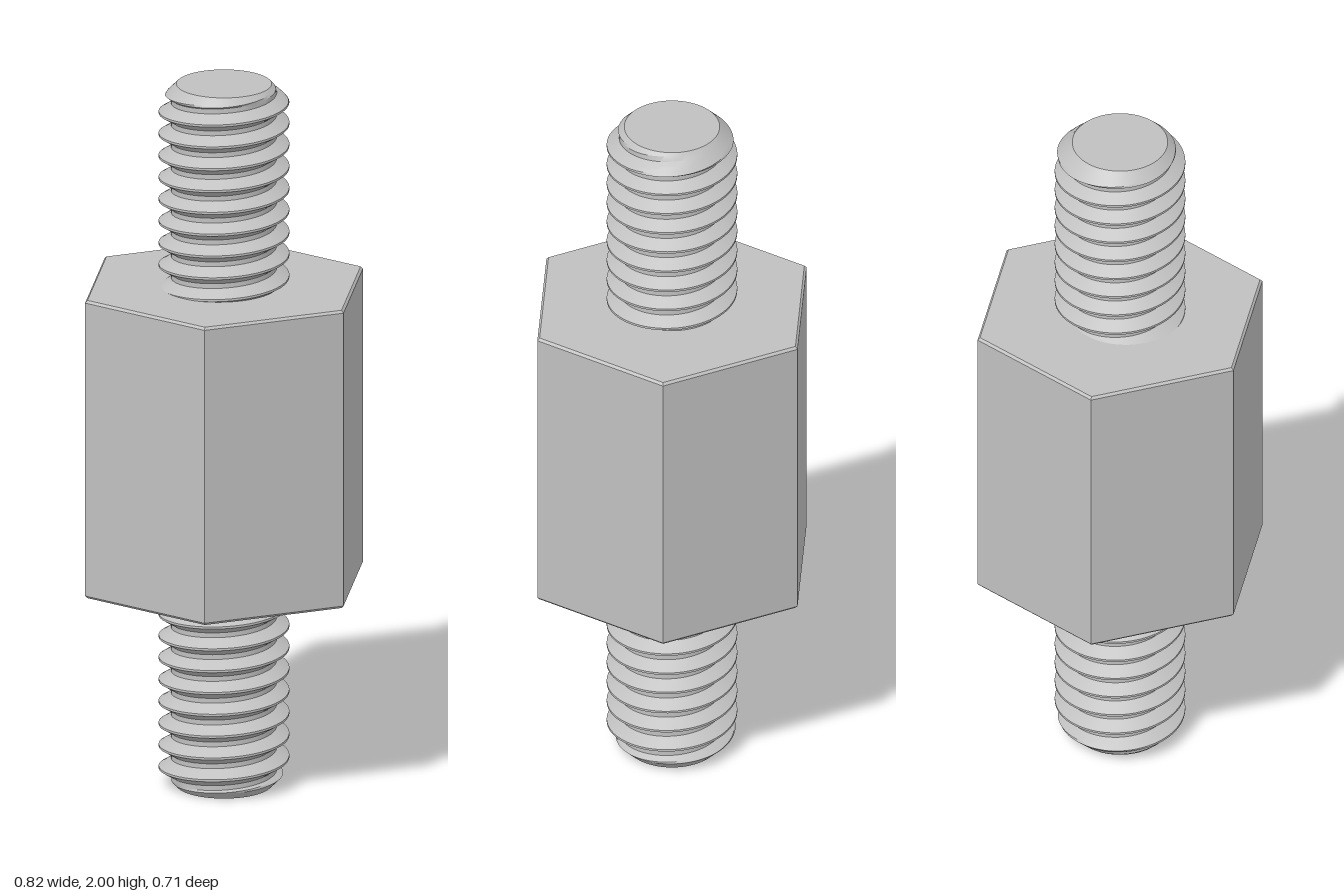
import * as THREE from 'three';
import { toCreasedNormals } from 'three/addons/utils/BufferGeometryUtils.js';

const PITCH = 0.0623, MAJOR = 0.178, MINOR = 0.144, TIP = 0.13;
const BODY_BOTTOM = 0.58, BODY_TOP = 1.43, HEIGHT = 2;
const SEGMENTS = 72, CREST_HEIGHT = 1.955;

// Trapezoid thread: flat crest, straight flank, flat root
function threadRadius(phase) {
  const u = Math.abs(phase - Math.round(phase));
  const t = THREE.MathUtils.clamp((u - 0.05) / 0.34, 0, 1);
  return THREE.MathUtils.lerp(MAJOR, MINOR, t);
}

// Right-handed helical surface between two heights, chamfered towards the tip
function threadGeometry(y0, y1, tipY) {
  const steps = [-0.05, 0.05, 0.135, 0.22, 0.305, 0.39, 0.61, 0.695, 0.78, 0.865];
  const first = Math.floor((y0 - CREST_HEIGHT) / PITCH) - 2;
  const last = Math.ceil((y1 - CREST_HEIGHT) / PITCH) + 1;
  const rows = [];
  for (let turn = first; turn <= last; turn++) {
    for (const s of steps) rows.push(turn + s);
  }

  const point = (row, i) => {
    const angle = (i / SEGMENTS) * Math.PI * 2;
    const y = THREE.MathUtils.clamp(CREST_HEIGHT + (row + i / SEGMENTS) * PITCH, y0, y1);
    const phase = (y - CREST_HEIGHT) / PITCH - i / SEGMENTS;
    const r = Math.min(threadRadius(phase), TIP + Math.abs(tipY - y));
    return [r * Math.cos(angle), y, -r * Math.sin(angle)];
  };

  const positions = [];
  const triangle = (a, b, c) => {
    const collapsed = a[1] === b[1] && b[1] === c[1] && (a[1] === y0 || a[1] === y1);
    if (!collapsed) positions.push(...a, ...b, ...c);
  };
  for (let j = 0; j < rows.length - 1; j++) {
    for (let i = 0; i < SEGMENTS; i++) {
      const a = point(rows[j], i), b = point(rows[j], i + 1);
      const c = point(rows[j + 1], i + 1), d = point(rows[j + 1], i);
      triangle(a, b, c);
      triangle(a, c, d);
    }
  }
  const geometry = new THREE.BufferGeometry();
  geometry.setAttribute('position', new THREE.Float32BufferAttribute(positions, 3));
  return toCreasedNormals(geometry, 0.4);
}

// Six-sided body with a fine chamfer at both ends
function bodyGeometry() {
  const R = 0.41, c = 0.007;
  const profile = [
    [0, BODY_BOTTOM], [R - c, BODY_BOTTOM], [R, BODY_BOTTOM + c],
    [R, BODY_TOP - c], [R - c, BODY_TOP], [0, BODY_TOP],
  ].map(([x, y]) => new THREE.Vector2(x, y));
  const geometry = new THREE.LatheGeometry(profile, 6, Math.PI / 2).toNonIndexed();
  geometry.computeVertexNormals();
  return geometry;
}

export function createModel() {
  const model = new THREE.Group();
  model.name = 'threadedStandoff';
  const steel = new THREE.MeshStandardMaterial({ color: 0xc0c0c0 });
  steel.name = 'steelGrey';

  const add = (parent, name, geometry) => {
    const mesh = new THREE.Mesh(geometry, steel);
    mesh.name = name;
    parent.add(mesh);
    return mesh;
  };

  add(model, 'hexBody', bodyGeometry());

  // Threaded studs, each closed by a flat end face
  const studs = [
    ['upperStud', BODY_TOP, HEIGHT, HEIGHT],
    ['lowerStud', 0, BODY_BOTTOM, 0],
  ];
  for (const [name, y0, y1, tipY] of studs) {
    const stud = new THREE.Group();
    stud.name = name;
    add(stud, 'thread', threadGeometry(y0, y1, tipY));
    const end = add(stud, 'endFace', new THREE.CircleGeometry(TIP, SEGMENTS));
    end.rotation.x = tipY > 0 ? -Math.PI / 2 : Math.PI / 2;
    end.position.y = tipY;
    model.add(stud);
  }
  return model;
}
